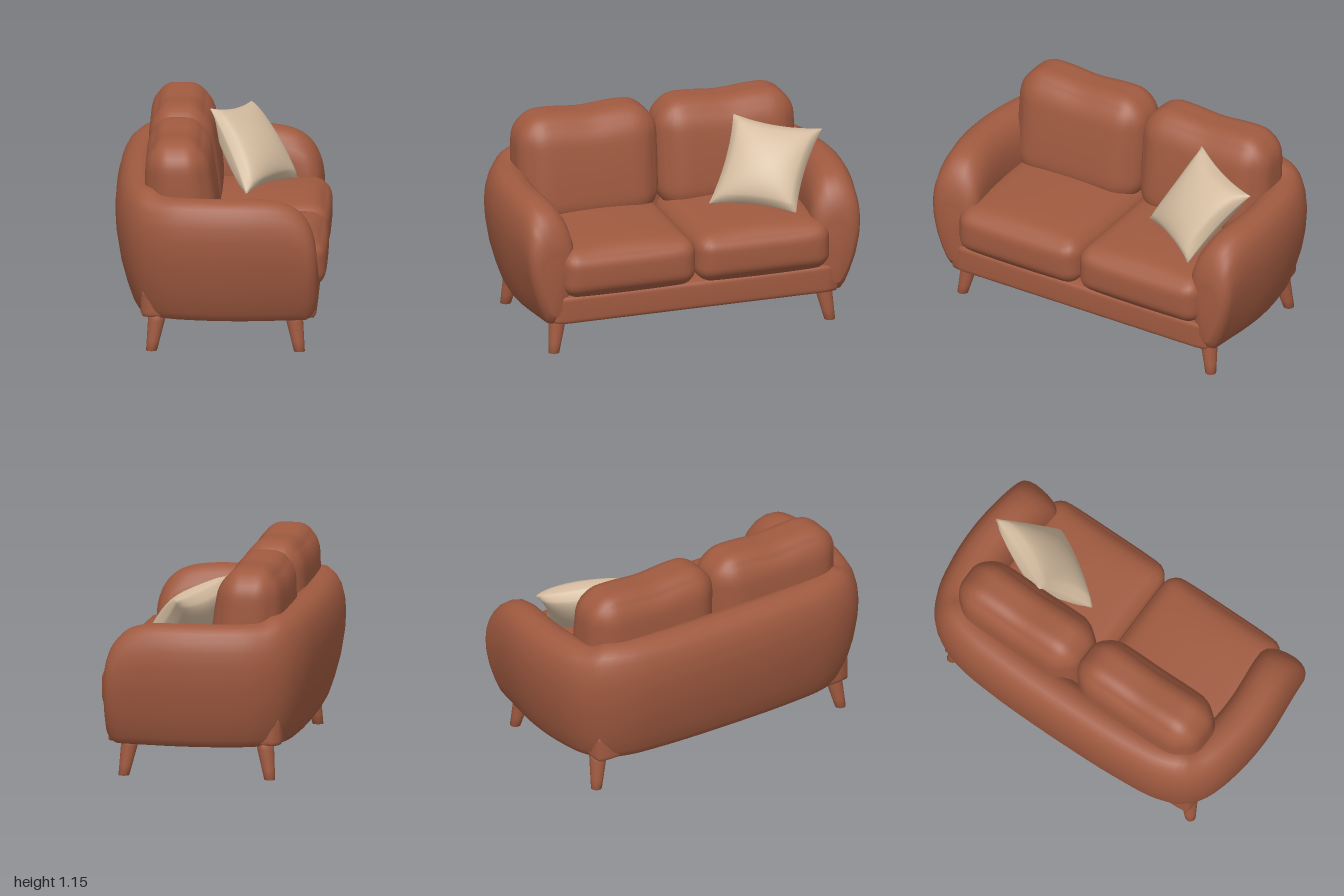
import * as THREE from 'three';
import { mergeVertices } from 'three/addons/utils/BufferGeometryUtils.js';

const clamp = THREE.MathUtils.clamp;

// Moves every vertex by a rule, welds the seams and smooths the normals
function reshape(geo, rule) {
  geo.deleteAttribute('uv');
  geo.deleteAttribute('normal');
  const pos = geo.attributes.position, p = new THREE.Vector3();
  for (let i = 0; i < pos.count; i++) {
    p.fromBufferAttribute(pos, i);
    rule(p);
    pos.setXYZ(i, p.x, p.y, p.z);
  }
  const out = mergeVertices(geo, 1e-5);
  out.computeVertexNormals();
  return out;
}

// Soft box with rounded edges; bulge pushes out the middle of each side
function softBox(w, h, d, r, bulge, rule = () => {}) {
  const half = [w / 2, h / 2, d / 2], core = new THREE.Vector3(), n = new THREE.Vector3();
  return reshape(new THREE.BoxGeometry(w, h, d, 20, 20, 24), p => {
    const u = p.x / half[0], v = p.y / half[1], s = p.z / half[2];
    core.set(clamp(p.x, r - half[0], half[0] - r), clamp(p.y, r - half[1], half[1] - r),
      clamp(p.z, r - half[2], half[2] - r));
    n.subVectors(p, core).normalize();
    p.copy(core).addScaledVector(n, r);
    p.x += bulge[0] * u * (1 - v * v) * (1 - s ** 4);
    p.y += bulge[1] * v * (1 - u ** 4) * (1 - s * s);
    p.z += bulge[2] * s * (1 - u * u) * (1 - v * v);
    rule(p, u, v, s);
  });
}

// Arms and back: one padded section swept along a U-shaped path
function shellGeometry() {
  const half = [[0.545, 0.95], [0.4, 0.97], [0.12, 0.998], [-0.12, 0.985], [-0.33, 0.935],
    [-0.47, 0.835], [-0.545, 0.67], [-0.575, 0.42]];
  const pts = [...half, [-0.585, 0], ...half.map(([x, z]) => [x, -z]).reverse()];
  const path = new THREE.CatmullRomCurve3(pts.map(([x, z]) => new THREE.Vector3(x, 0, z)), false, 'centripetal');
  // Section: inset from the outer line, height fraction
  const section = [[0.14, 0], [0.115, 0.01], [0.09, 0.07], [0.06, 0.19], [0.027, 0.36], [0.006, 0.54],
    [0, 0.68], [0.006, 0.79], [0.022, 0.88], [0.045, 0.94], [0.08, 0.985], [0.13, 1], [0.18, 0.985],
    [0.22, 0.94], [0.25, 0.87], [0.27, 0.77], [0.275, 0.6], [0.255, 0.4], [0.235, 0.2], [0.235, 0]];
  const N = 96, M = section.length, verts = [], index = [];
  for (let i = 0; i <= N; i++) {
    const t = (1 - Math.cos(Math.PI * i / N)) / 2;
    const p = path.getPointAt(t), T = path.getTangentAt(t);
    const e = clamp(p.x / 0.545, 0, 1), back = THREE.MathUtils.smoothstep(-p.x, 0.36, 0.5);
    const top = 0.867 + 0.033 * back - 0.3 * (1 - Math.sqrt(1 - e ** 5));
    const bottom = 0.18 + 0.06 * clamp((p.x - 0.48) / 0.065, 0, 1) ** 2;
    const q = 1 - clamp((0.545 - p.x) / 0.07, 0, 1);
    const thick = 0.5 + 0.5 * Math.sqrt(1 - q * q);
    for (const [d, v] of section) {
      const inset = 0.14 + (d - 0.14) * thick;
      verts.push(p.x - T.z * inset, bottom + (top - bottom) * v, p.z + T.x * inset);
    }
  }
  for (let i = 0; i < N; i++) for (let j = 0; j < M; j++) {
    const k = (j + 1) % M, a = i * M + j, b = i * M + k;
    index.push(a, b, a + M, b, b + M, a + M);
  }
  // Front ends of the arms
  for (const s of [1, -1]) {
    const base = s > 0 ? 0 : N * M, c = verts.length / 3;
    verts.push(0.548, 0.4, s * 0.81);
    for (let j = 0; j < M; j++) {
      const a = base + j, b = base + (j + 1) % M;
      index.push(c, s > 0 ? b : a, s > 0 ? a : b);
    }
  }
  const g = new THREE.BufferGeometry();
  g.setAttribute('position', new THREE.Float32BufferAttribute(verts, 3));
  g.setIndex(index);
  g.computeVertexNormals();
  return g;
}

// Scatter pillow: thick middle, thin pinched edges, stretched between four corners
function pillowGeometry() {
  const A = new THREE.Vector3(-0.08, 1.055, -0.42), B = new THREE.Vector3(0.13, 0.99, -0.86);
  const C = new THREE.Vector3(0.39, 0.62, -0.62), D = new THREE.Vector3(0.12, 0.63, -0.21);
  const n = new THREE.Vector3(0.81, 0.52, 0.3).normalize();
  const ab = new THREE.Vector3(), dc = new THREE.Vector3();
  return reshape(new THREE.BoxGeometry(2, 2, 2, 24, 24, 1), p => {
    const pu = p.x * (1 - 0.1 * (1 - p.y ** 2)), pv = p.y * (1 - 0.1 * (1 - p.x ** 2));
    const puff = 0.006 + 0.105 * ((1 - p.x ** 2) * (1 - p.y ** 2)) ** 0.45;
    const side = p.z;
    ab.lerpVectors(A, B, (pu + 1) / 2);
    dc.lerpVectors(D, C, (pu + 1) / 2);
    p.lerpVectors(dc, ab, (pv + 1) / 2).addScaledVector(n, side * puff);
  });
}

export function createModel() {
  const sofa = new THREE.Group();
  sofa.name = 'sofa';
  const leather = new THREE.MeshStandardMaterial({ color: 0xa05a40 });
  leather.name = 'russet upholstery';
  const linen = new THREE.MeshStandardMaterial({ color: 0xd4bca0 });
  linen.name = 'beige linen';

  const add = (name, geo, mat, x = 0, y = 0, z = 0) => {
    const m = new THREE.Mesh(geo, mat);
    m.name = name;
    m.position.set(x, y, z);
    sofa.add(m);
  };

  add('armsAndBack', shellGeometry(), leather);
  add('baseRail', softBox(0.96, 0.17, 1.64, 0.03, [0.005, 0, 0]), leather, 0.05, 0.265, 0);

  for (const s of [1, -1]) {
    const side = s > 0 ? 'left' : 'right';
    add(side + 'SeatCushion', softBox(0.82, 0.265, 0.772, 0.085, [0.015, 0.03, 0.005]),
      leather, 0.16, 0.467, s * 0.387);

    // Back cushion: front face leans back, top edge dips gently in the middle
    add(side + 'BackCushion', softBox(0.4, 0.62, 0.79, 0.15, [0.015, 0.01, 0.01], (p, u, v, z) => {
      const t = clamp(p.y / 0.62 + 0.5, 0, 1);
      p.x = -0.2 + (p.x + 0.2) * (1 - 0.2 * t);
      if (v > 0) p.y -= 0.018 * v * Math.exp(-((z / 0.35) ** 2));
    }), leather, -0.2, 0.832, s * 0.397);

    // Tapered legs splayed outwards
    for (const f of [1, -1]) {
      const leg = reshape(new THREE.CylinderGeometry(0.052, 0.03, 0.22, 20, 4), p => {
        const drop = (0.11 - p.y) / 0.22;
        p.x += f * 0.035 * drop;
        p.z += s * 0.035 * drop;
      });
      add(side + (f > 0 ? 'FrontLeg' : 'BackLeg'), leg, leather, f > 0 ? 0.403 : -0.335, 0.11, s * 0.762);
    }
  }

  add('scatterPillow', pillowGeometry(), linen);
  return sofa;
}
